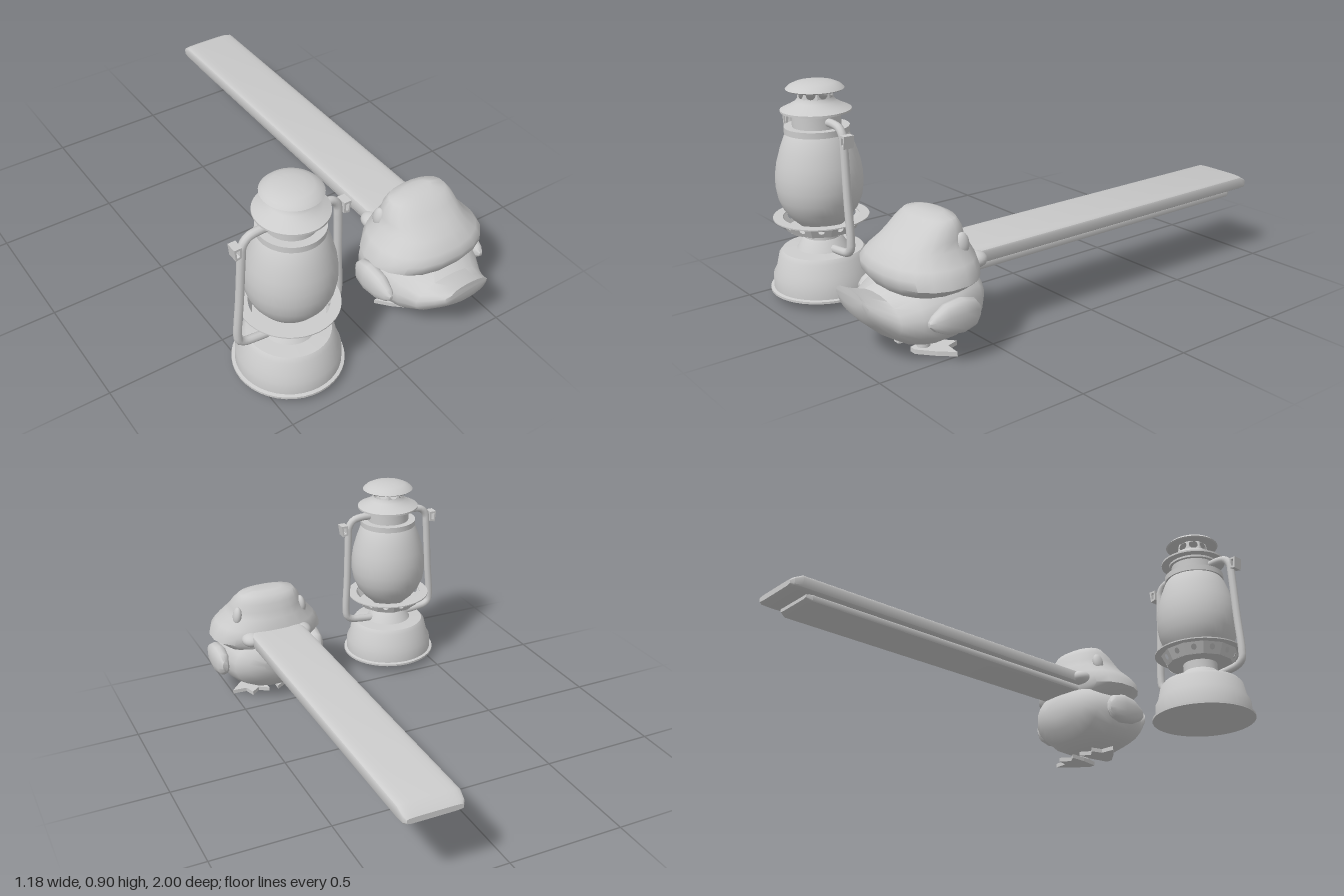
import * as THREE from 'three';
import { mergeGeometries, toCreasedNormals } from 'three/addons/utils/BufferGeometryUtils.js';

const mat = new THREE.MeshStandardMaterial({ color: 0xcccccc });
const thin = new THREE.MeshStandardMaterial({ color: 0xcccccc, side: THREE.DoubleSide });

function add(parent, name, geo, material = mat) {
  const mesh = new THREE.Mesh(geo, material);
  mesh.name = name;
  parent.add(mesh);
  return mesh;
}

// Closed superellipse loft along z; sections are [z, yMin, yMax, halfWidth]
function loft(sections, n, power, crease) {
  const pos = [], idx = [];
  const bend = (v) => Math.sign(v) * Math.abs(v) ** (2 / power);
  for (const [z, y0, y1, w] of sections)
    for (let i = 0; i < n; i++) {
      const a = ((i + 0.5) / n) * Math.PI * 2;
      pos.push(w * bend(Math.cos(a)), (y0 + y1) / 2 + ((y1 - y0) / 2) * bend(Math.sin(a)), z);
    }
  const last = sections.length - 1;
  for (let s = 0; s < last; s++)
    for (let i = 0; i < n; i++) {
      const a = s * n + i, b = s * n + ((i + 1) % n);
      idx.push(a, b, b + n, a, b + n, a + n);
    }
  for (let i = 1; i < n - 1; i++)
    idx.push(0, i + 1, i, last * n, last * n + i, last * n + i + 1);
  const g = new THREE.BufferGeometry();
  g.setAttribute('position', new THREE.Float32BufferAttribute(pos, 3));
  g.setIndex(idx);
  return toCreasedNormals(g, crease);
}

function lathe(profile) {
  const pts = profile.map(([r, y]) => new THREE.Vector2(r, y));
  return toCreasedNormals(new THREE.LatheGeometry(pts, 40), 0.5);
}

// Ring of flat panels, each pierced by a round hole
function piercedRing(n, y0, y1, r0, r1, holeRadius, holeY) {
  const t = Math.tan(Math.PI / n), h = y1 - y0, panels = [];
  for (let i = 0; i < n; i++) {
    const shape = new THREE.Shape([[-r0 * t, 0], [r0 * t, 0], [r1 * t, h], [-r1 * t, h]]
      .map(([x, y]) => new THREE.Vector2(x, y)));
    shape.holes.push(new THREE.Path().absarc(0, holeY - y0, holeRadius, 0, Math.PI * 2, true));
    const g = new THREE.ShapeGeometry(shape, 6), p = g.attributes.position;
    for (let k = 0; k < p.count; k++) {
      const v = p.getY(k);
      p.setXYZ(k, p.getX(k), y0 + v, r0 + ((r1 - r0) * v) / h);
    }
    g.computeVertexNormals();
    panels.push(g.rotateY((i / n) * Math.PI * 2));
  }
  return mergeGeometries(panels);
}

function ellipsoid(rx, ry, rz) {
  return new THREE.SphereGeometry(1, 20, 14).scale(rx, ry, rz);
}

function createLantern() {
  const g = new THREE.Group();
  g.name = 'lantern';
  add(g, 'fuelTank', lathe([[0, 0.033], [0.22, 0.033], [0.22, 0.042], [0.207, 0.045], [0.205, 0.1],
    [0.192, 0.125], [0.179, 0.182], [0.165, 0.199], [0.105, 0.203], [0.082, 0.242], [0.074, 0.25],
    [0.074, 0.287], [0.14, 0.287]]), thin);
  add(g, 'burnerGallery', piercedRing(12, 0.285, 0.335, 0.138, 0.163, 0.012, 0.313), thin);
  add(g, 'galleryFlange', lathe([[0.155, 0.333], [0.195, 0.333], [0.195, 0.338], [0.155, 0.338], [0.155, 0.333]]));
  add(g, 'globe', lathe([[0.07, 0.288], [0.12, 0.335], [0.15, 0.375], [0.169, 0.42], [0.177, 0.47],
    [0.176, 0.52], [0.168, 0.57], [0.152, 0.625], [0.133, 0.675], [0.122, 0.692], [0, 0.692]]));
  add(g, 'collar', lathe([[0, 0.69], [0.131, 0.69], [0.131, 0.715], [0.098, 0.715], [0.098, 0.764],
    [0.109, 0.766], [0.109, 0.777], [0, 0.777]]));
  add(g, 'hood', lathe([[0.1, 0.775], [0.142, 0.776], [0.142, 0.784], [0.112, 0.798], [0.082, 0.815],
    [0.073, 0.827], [0.071, 0.832]]), thin);
  add(g, 'chimneyVents', piercedRing(8, 0.83, 0.87, 0.067, 0.06, 0.02, 0.851), thin);
  add(g, 'cap', lathe([[0, 0.872], [0.06, 0.87], [0.112, 0.863], [0.117, 0.867], [0.104, 0.88],
    [0.08, 0.891], [0.045, 0.898], [0, 0.9]]));

  // Side tubes and the bail lugs, mirrored
  for (const s of [-1, 1]) {
    const pts = [[0.08, 0.743], [0.14, 0.744], [0.18, 0.735], [0.203, 0.705], [0.207, 0.66], [0.217, 0.45],
      [0.227, 0.28], [0.222, 0.247], [0.2, 0.229], [0.15, 0.22], [0.08, 0.213]]
      .map(([x, y]) => new THREE.Vector3(s * x, y, 0));
    add(g, 'sideTube', new THREE.TubeGeometry(new THREE.CatmullRomCurve3(pts), 48, 0.017, 10), thin);
    const lug = new THREE.Shape([[-0.016, -0.02], [0.009, -0.026], [0.016, 0.026], [-0.016, 0.026]]
      .map(([x, y]) => new THREE.Vector2(x, y)));
    lug.holes.push(new THREE.Path([[-0.008, -0.012], [-0.008, 0.017], [0.007, 0.017], [0.004, -0.015]]
      .map(([x, y]) => new THREE.Vector2(x, y))));
    const m = add(g, 'bailLug', new THREE.ExtrudeGeometry(lug, { depth: 0.045, bevelEnabled: false }).translate(0, 0, -0.0225));
    m.position.set(s * 0.233, 0.694, 0);
    if (s < 0) m.rotation.y = Math.PI;
  }
  return g;
}

function createBird() {
  const g = new THREE.Group();
  g.name = 'bird';
  add(g, 'body', loft([[0.495, 0.16, 0.24, 0.08], [0.515, 0.11, 0.29, 0.15], [0.56, 0.06, 0.32, 0.2],
    [0.65, 0.03, 0.33, 0.22], [0.75, 0.03, 0.32, 0.225], [0.82, 0.05, 0.29, 0.205], [0.89, 0.095, 0.25, 0.165],
    [0.95, 0.15, 0.272, 0.125], [0.985, 0.19, 0.288, 0.105], [1, 0.235, 0.295, 0.09]], 20, 2.1, 0.8));
  // Head is lofted upwards: [y, -zMax, -zMin, halfWidth]
  add(g, 'head', loft([[0.25, -0.85, -0.53, 0.185], [0.275, -0.87, -0.52, 0.225], [0.3, -0.885, -0.515, 0.26],
    [0.335, -0.892, -0.51, 0.248], [0.365, -0.875, -0.515, 0.228], [0.41, -0.84, -0.535, 0.178],
    [0.44, -0.8, -0.55, 0.165], [0.475, -0.76, -0.56, 0.152], [0.507, -0.72, -0.58, 0.128],
    [0.52, -0.685, -0.61, 0.07]], 20, 2.3, 0.8).rotateX(-Math.PI / 2));

  // Long flat bill
  add(g, 'upperBill', loft([[-1, 0.308, 0.332, 0.112], [-0.985, 0.301, 0.345, 0.122], [-0.95, 0.3, 0.364, 0.127],
    [0.58, 0.3, 0.364, 0.127]], 24, 6, 0.6));
  add(g, 'lowerBill', loft([[-0.915, 0.285, 0.305, 0.092], [-0.89, 0.272, 0.305, 0.104], [0.58, 0.27, 0.305, 0.107]], 24, 7, 0.6));

  // Feet point towards the bill
  const foot = new THREE.Shape([[0.04, -0.775], [0.025, -0.69], [0.022, -0.615], [0.065, -0.645], [0.105, -0.61],
    [0.12, -0.66], [0.185, -0.665], [0.135, -0.72], [0.07, -0.775]].map(([x, y]) => new THREE.Vector2(x, y)));
  for (const s of [-1, 1]) {
    const side = new THREE.Group();
    side.name = s > 0 ? 'leftSide' : 'rightSide';
    side.scale.x = s;
    g.add(side);
    add(side, 'mouthCorner', ellipsoid(0.045, 0.032, 0.05)).position.set(0.12, 0.33, 0.535);
    const eye = add(side, 'eye', ellipsoid(0.02, 0.042, 0.028));
    eye.position.set(0.155, 0.42, 0.615);
    eye.rotation.z = 0.15;
    // Wing tapers to a rounded tip at the tail end
    const wing = add(side, 'wing', loft([[0.6, 0.16, 0.21, 0.012], [0.625, 0.133, 0.24, 0.03], [0.68, 0.12, 0.255, 0.038],
      [0.75, 0.13, 0.245, 0.035], [0.8, 0.155, 0.215, 0.022], [0.82, 0.175, 0.195, 0.008]], 14, 2.4, 0.8));
    wing.position.x = 0.232;
    add(side, 'foot', new THREE.ExtrudeGeometry(foot, { depth: 0.018, bevelEnabled: false }).rotateX(-Math.PI / 2));
    add(side, 'leg', new THREE.CylinderGeometry(0.022, 0.026, 0.07, 10)).position.set(0.06, 0.045, 0.73);
  }
  return g;
}

export function createModel() {
  const model = new THREE.Group();
  model.name = 'birdAndLantern';
  const lantern = createLantern();
  lantern.position.set(-0.342, 0, 0.732);
  const bird = createBird();
  bird.position.x = 0.317;
  model.add(lantern, bird);
  return model;
}
